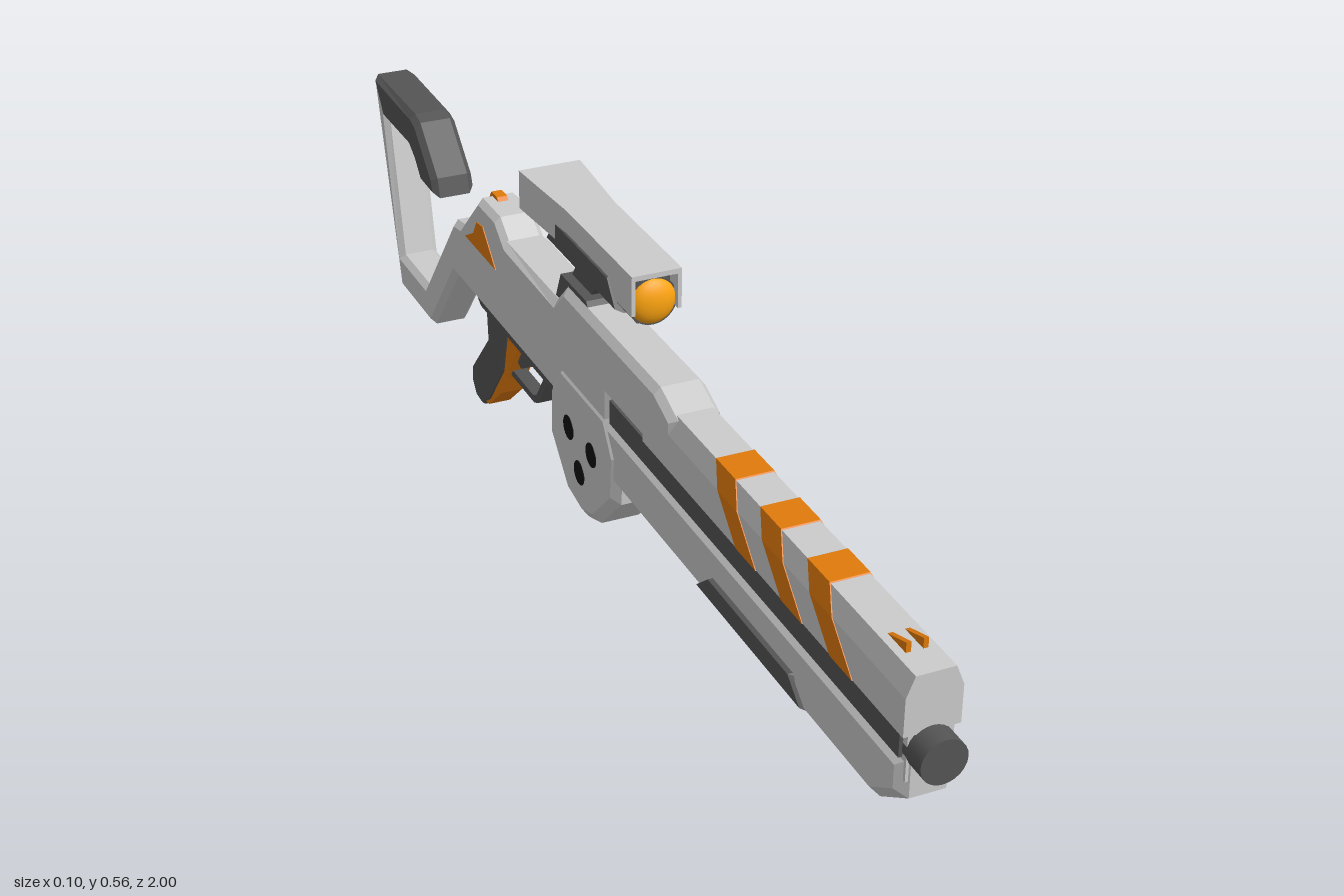
import * as THREE from 'three';

const mat = (color) => new THREE.MeshStandardMaterial({ color });

export function createModel() {
  const model = new THREE.Group();
  const light = mat(0xcccccc), dark = mat(0x555555), black = mat(0x111111);
  const orange = mat(0xe07a0c), glass = mat(0xffa510);

  const add = (name, geometry, material) => {
    const mesh = new THREE.Mesh(geometry, material);
    mesh.name = name;
    model.add(mesh);
    return mesh;
  };
  const shapeOf = (pts) => new THREE.Shape(pts.map(([a, b]) => new THREE.Vector2(a, b)));

  // Side profile of [z, y] points, extruded across x with chamfered edges
  const slab = (name, pts, half, material, bevel = 0, inset = bevel) => {
    const depth = 2 * (half - bevel);
    const g = new THREE.ExtrudeGeometry(shapeOf(pts), {
      depth, bevelEnabled: bevel > 0, bevelThickness: bevel,
      bevelSize: inset, bevelOffset: -inset, bevelSegments: 1,
    });
    g.translate(0, 0, -depth / 2).rotateY(-Math.PI / 2);
    return add(name, g, material);
  };
  // Right half of a cross-section [x, y], mirrored and extruded from z0 to z1
  const beam = (name, half, z0, z1, material, steps = 1, move = null) => {
    const pts = [...half, ...half.map(([x, y]) => [-x, y]).reverse()];
    const g = new THREE.ExtrudeGeometry(shapeOf(pts), { depth: z1 - z0, steps, bevelEnabled: false });
    g.translate(0, 0, z0);
    if (move) {
      const p = g.attributes.position, v = new THREE.Vector3();
      for (let i = 0; i < p.count; i++) {
        move(v.fromBufferAttribute(p, i));
        p.setXYZ(i, v.x, v.y, v.z);
      }
      g.computeVertexNormals();
    }
    return add(name, g, material);
  };
  const box = (name, w, h, d, y, z, material) =>
    add(name, new THREE.BoxGeometry(w, h, d), material).position.set(0, y, z);

  // Barrel, shroud and side rails
  const barrel = add('barrel', new THREE.CylinderGeometry(0.033, 0.033, 0.2, 24).rotateX(Math.PI / 2), dark);
  barrel.position.set(0, 0.295, 0.9);
  box('barrelCore', 0.064, 0.1, 0.87, 0.3, 0.53, light);
  box('sideRail', 0.075, 0.04, 0.88, 0.302, 0.515, dark);
  beam('shroud', [[0.04, 0.32], [0.04, 0.377], [0.028, 0.407]], 0.2, 0.967, light);

  // Slanted stripes wrapped over the shroud
  for (let i = 0; i < 3; i++) {
    const z = 0.78 - i * 0.135;
    beam('stripe', [[0.0412, 0.32], [0.0412, 0.378], [0.029, 0.4085]], z, z + 0.06, orange, 1,
      (v) => { v.z -= (v.y - 0.32) * 1.02; });
  }

  // Twin front sight blades
  for (const s of [-1, 1]) {
    slab('frontSight', [[0.92, 0.4], [0.92, 0.422], [0.875, 0.407], [0.875, 0.4]], 0.0035, orange)
      .position.x = s * 0.012;
  }

  // Lower handguard and grip cover
  slab('handguard', [[0.967, 0.285], [0.967, 0.225], [0.9, 0.18], [0.05, 0.18], [0.05, 0.285]],
    0.04, light, 0.014, 0.016);
  beam('handguardCover', [[0.048, 0.23], [0.048, 0.2], [0.014, 0.175]], 0.405, 0.72, dark, 1,
    (v) => { v.z += (v.z > 0.56 ? -1 : 1) * Math.max(0, v.y - 0.2) * 1.2; });

  // Receiver
  slab('receiver', [
    [0.3, 0.32], [0.3, 0.403], [0.24, 0.427], [-0.1, 0.427], [-0.14, 0.388], [-0.36, 0.388],
    [-0.31, 0.3], [-0.2, 0.295], [-0.155, 0.235], [-0.155, 0.22], [0.075, 0.22], [0.075, 0.32],
  ], 0.04, light, 0.01, 0.012);

  // Rear body flowing into the open stock
  slab('rearBodyAndStock', [
    [-0.12, 0.22], [-0.12, 0.375], [-0.355, 0.385], [-0.395, 0.415], [-0.475, 0.415], [-0.565, 0.328],
    [-0.6, 0.322], [-0.76, 0.125], [-0.89, 0.125], [-0.945, 0.37], [-0.83, 0.37], [-0.83, 0.43],
    [-0.998, 0.43], [-0.895, 0.06], [-0.73, 0.06], [-0.6, 0.22],
  ], 0.036, light, 0.01);
  slab('cheekPad', [
    [-0.685, 0.325], [-0.695, 0.358], [-0.775, 0.43], [-0.8, 0.437], [-1, 0.437], [-0.955, 0.37],
    [-0.815, 0.37], [-0.79, 0.355], [-0.76, 0.325],
  ], 0.037, dark, 0.01);
  slab('gripSocket', [[-0.17, 0.235], [-0.19, 0.2], [-0.5, 0.2], [-0.55, 0.235]], 0.026, dark, 0.005);

  // Rear accent and rear sight
  slab('rearAccent', [[-0.395, 0.322], [-0.45, 0.375], [-0.478, 0.372], [-0.495, 0.345], [-0.535, 0.322]],
    0.0375, orange);
  slab('rearSight', [[-0.445, 0.41], [-0.455, 0.421], [-0.48, 0.421], [-0.495, 0.4]], 0.009, orange);

  // Drum housing with three round ports on each side
  slab('drumHousing', [
    [0.07, 0.295], [-0.11, 0.295], [-0.155, 0.235], [-0.158, 0.15], [-0.085, 0.075], [-0.02, 0.063],
    [0.03, 0.08], [0.105, 0.155], [0.11, 0.235],
  ], 0.043, light, 0.012, 0.016);
  for (const [z, y] of [[0.017, 0.197], [-0.072, 0.199], [-0.03, 0.14]]) {
    const port = add('port', new THREE.CylinderGeometry(0.02, 0.02, 0.088, 20).rotateZ(Math.PI / 2), black);
    port.position.set(0, y, z);
  }

  // Pistol grip, trigger and guard
  slab('pistolGrip', [
    [-0.385, 0.215], [-0.49, 0.215], [-0.485, 0.15], [-0.565, 0.06], [-0.57, 0.03], [-0.55, 0.005],
    [-0.52, 0.002], [-0.48, 0.03], [-0.41, 0.12],
  ], 0.021, dark, 0.005);
  slab('gripFront', [
    [-0.335, 0.215], [-0.4, 0.215], [-0.42, 0.13], [-0.505, 0.015], [-0.49, 0.018], [-0.43, 0.07], [-0.405, 0.11],
  ], 0.019, orange);
  slab('trigger', [[-0.305, 0.21], [-0.345, 0.21], [-0.375, 0.155], [-0.36, 0.15], [-0.325, 0.17]], 0.009, dark);
  slab('triggerGuard', [
    [-0.215, 0.215], [-0.235, 0.19], [-0.275, 0.13], [-0.295, 0.12], [-0.42, 0.12], [-0.42, 0.132],
    [-0.3, 0.132], [-0.285, 0.14], [-0.25, 0.19], [-0.24, 0.215],
  ], 0.012, dark);

  // Scope mount
  slab('mountBase', [[-0.02, 0.42], [-0.03, 0.435], [-0.13, 0.435], [-0.15, 0.39], [-0.1, 0.39]], 0.03, dark);
  slab('mountPost', [[0.0, 0.48], [-0.09, 0.48], [-0.13, 0.425], [-0.055, 0.425], [-0.035, 0.45]], 0.014, dark);

  // Scope body, flared hood and lenses
  const flare = (v) => { v.x *= 1 + 0.3 * THREE.MathUtils.clamp((-0.08 - v.z) / 0.16, 0, 1); };
  beam('scopeBody', [[0.018, 0.472], [0.036, 0.495], [0.036, 0.55]], -0.215, 0.13, dark);
  beam('scopeHood', [[0.033, 0.555], [0.033, 0.5], [0.039, 0.5], [0.039, 0.563]].reverse(),
    -0.245, 0.158, light, 10, flare);
  beam('scopeSidePlate', [[0.03, 0.482], [0.042, 0.488], [0.042, 0.525], [0.03, 0.53]], -0.16, 0.11, dark, 1,
    (v) => { v.z += (v.z > 0 ? -1 : 1) * (v.y - 0.482) * 0.8; });
  for (const [z, s] of [[0.13, 1], [-0.215, -1]]) {
    const ring = add('lensRing', new THREE.CylinderGeometry(0.038, 0.038, 0.03, 28).rotateX(Math.PI / 2), dark);
    ring.position.set(0, 0.512, z);
    const lens = add('lens', new THREE.SphereGeometry(0.036, 28, 14), glass);
    lens.position.set(0, 0.512, z + s * 0.012);
    lens.scale.z = 0.5;
  }
  return model;
}
